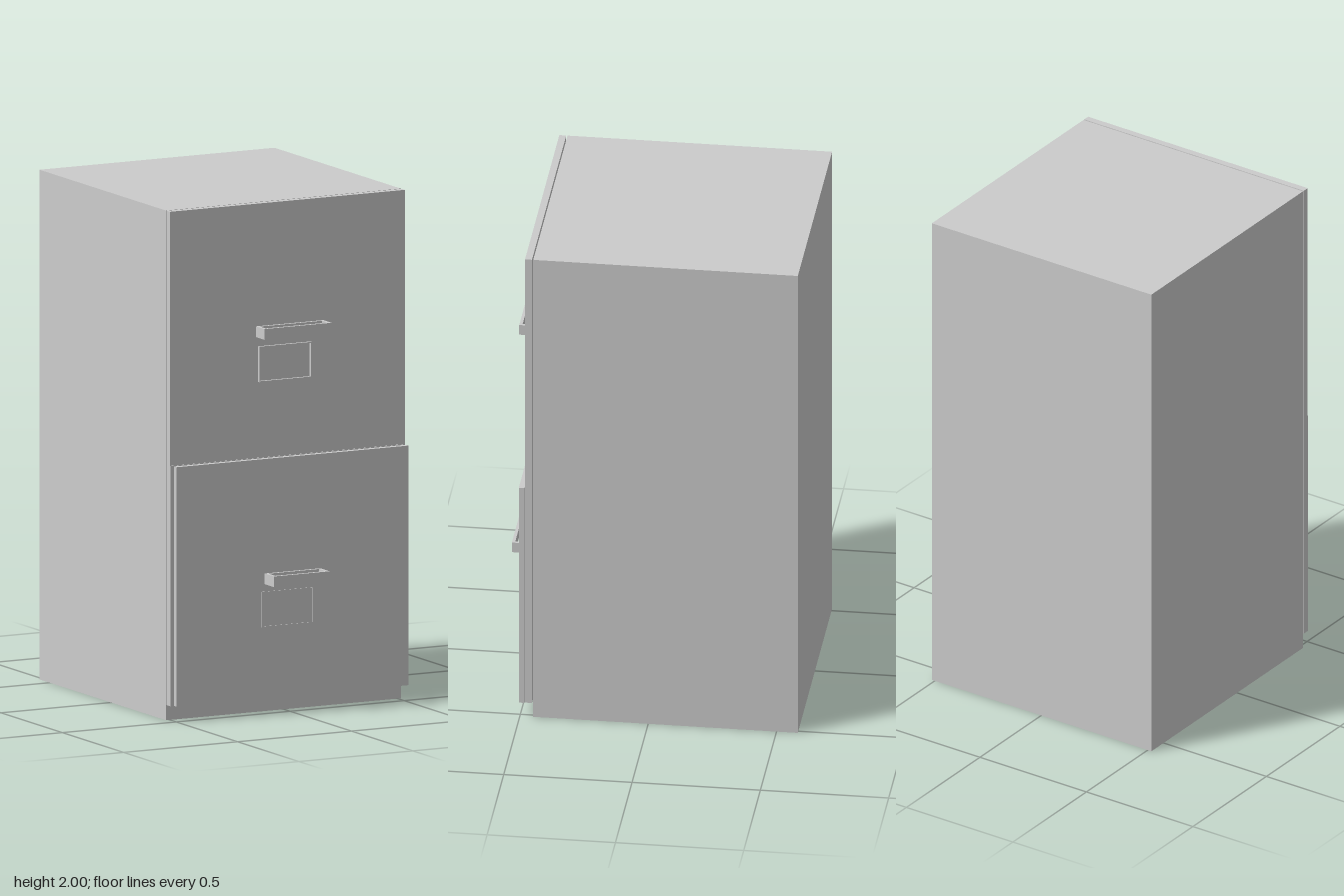
import * as THREE from 'three';

const grey = new THREE.MeshStandardMaterial({ color: 0xcccccc, flatShading: true });

// Box given by its lower and upper corner
function box(name, [x0, y0, z0], [x1, y1, z1]) {
  const mesh = new THREE.Mesh(new THREE.BoxGeometry(x1 - x0, y1 - y0, z1 - z0), grey);
  mesh.name = name;
  mesh.position.set((x0 + x1) / 2, (y0 + y1) / 2, (z0 + z1) / 2);
  return mesh;
}

// Rectangular ring in the XY plane, wall thickness t, extruded along z
function ring(name, w, h, t, depth) {
  const rect = (P, a, b) => {
    const p = new P();
    p.moveTo(-a, -b);
    p.lineTo(a, -b);
    p.lineTo(a, b);
    p.lineTo(-a, b);
    p.closePath();
    return p;
  };
  const shape = rect(THREE.Shape, w / 2, h / 2);
  shape.holes.push(rect(THREE.Path, w / 2 - t, h / 2 - t));
  const geometry = new THREE.ExtrudeGeometry(shape, { depth, bevelEnabled: false });
  const mesh = new THREE.Mesh(geometry, grey);
  mesh.name = name;
  return mesh;
}

// Handle: ring lying flat, its back bar against the drawer face
function handle(name, x0, x1, y, z0, z1) {
  const mesh = ring(name, x1 - x0, z1 - z0, 0.012, 0.042);
  mesh.rotation.x = -Math.PI / 2;
  mesh.position.set((x0 + x1) / 2, y - 0.021, (z0 + z1) / 2);
  return mesh;
}

// Label holder: thin-walled rectangular rim on the drawer face
function labelHolder(name, x0, x1, y0, y1, z, depth) {
  const mesh = ring(name, x1 - x0, y1 - y0, 0.004, depth);
  mesh.position.set((x0 + x1) / 2, (y0 + y1) / 2, z);
  return mesh;
}

export function createModel() {
  const model = new THREE.Group();
  model.name = 'filingCabinet';

  // Cabinet body
  model.add(box('cabinetBody', [-0.517, 0, -0.583], [0.514, 2, 0.448]));

  // Upper drawer, set just clear of the body
  const upper = new THREE.Group();
  upper.name = 'upperDrawer';
  upper.add(
    box('upperDrawerFront', [-0.517, 1.003, 0.453], [0.514, 2, 0.48]),
    handle('upperHandle', -0.14, 0.156, 1.498, 0.48, 0.549),
    labelHolder('upperLabelHolder', -0.13, 0.1, 1.3, 1.44, 0.48, 0.011)
  );

  // Lower drawer, with a second panel shifted slightly to one side
  const lower = new THREE.Group();
  lower.name = 'lowerDrawer';
  lower.add(
    box('lowerDrawerBacking', [-0.517, 0.06, 0.453], [0.514, 1.003, 0.483]),
    box('lowerDrawerFront', [-0.5, 0.06, 0.483], [0.517, 1, 0.504]),
    handle('lowerHandle', -0.114, 0.13, 0.53, 0.504, 0.581),
    labelHolder('lowerLabelHolder', -0.13, 0.1, 0.34, 0.48, 0.504, 0.003)
  );

  model.add(upper, lower);
  return model;
}
